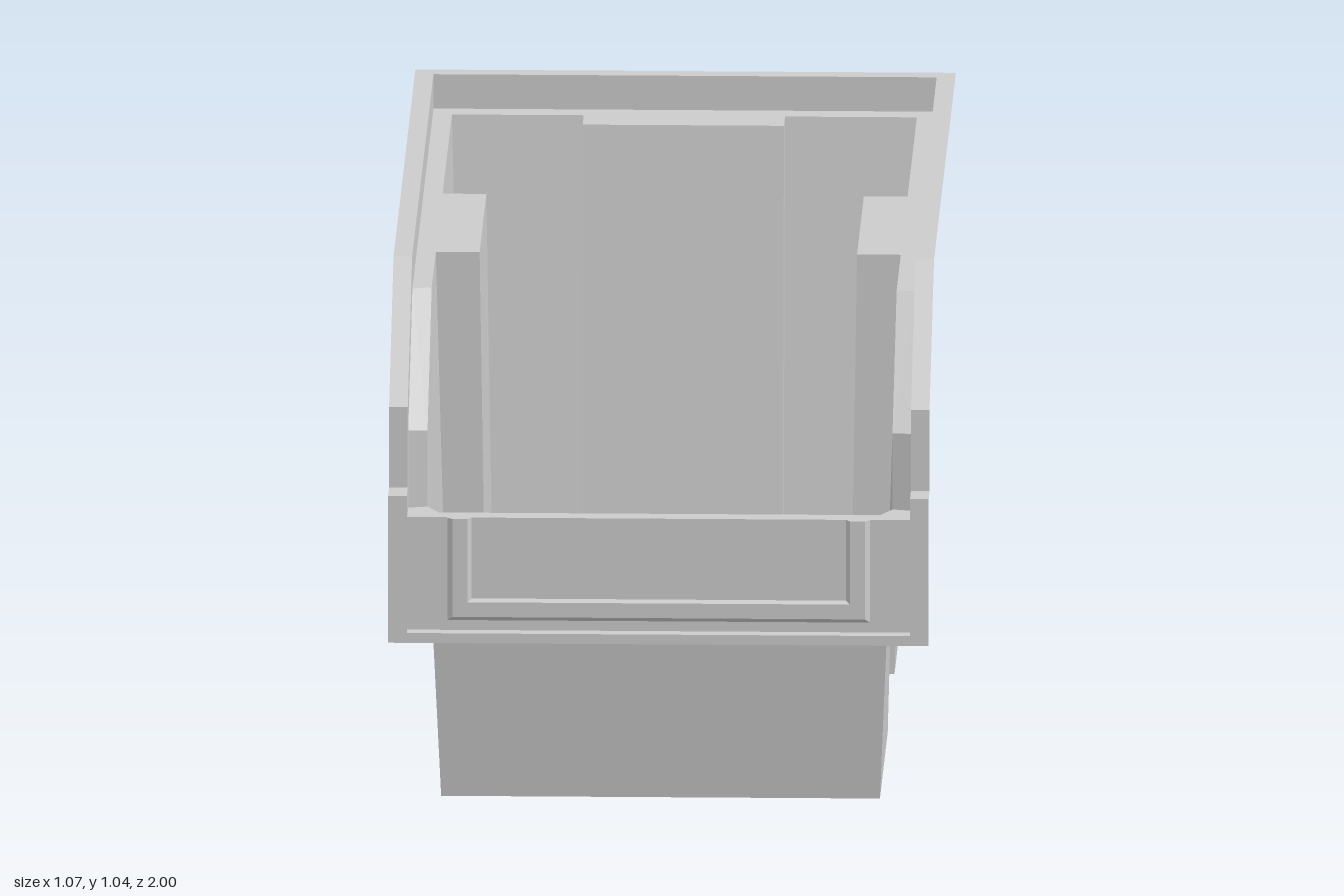
import * as THREE from 'three';

const material = new THREE.MeshStandardMaterial({
  color: 0xcccccc, flatShading: true, side: THREE.DoubleSide,
});

// Joins neighbouring rows of [x, y, z] points with quads, and mirrors them across x = 0.
function loftMirrored(name, rows) {
  const pos = [];
  const tri = (a, b, c) => {
    for (const p of [a, b, c]) pos.push(...p);
    for (const p of [a, c, b]) pos.push(-p[0], p[1], p[2]);
  };
  for (let r = 0; r < rows.length - 1; r++) {
    for (let i = 0; i < rows[r].length - 1; i++) {
      const a = rows[r][i], b = rows[r][i + 1];
      const c = rows[r + 1][i + 1], d = rows[r + 1][i];
      tri(a, c, b);
      tri(a, d, c);
    }
  }
  const geometry = new THREE.BufferGeometry();
  geometry.setAttribute('position', new THREE.Float32BufferAttribute(pos, 3));
  geometry.computeVertexNormals();
  const mesh = new THREE.Mesh(geometry, material);
  mesh.name = name;
  return mesh;
}

const at = (y, points) => points.map(([x, z]) => [x, y, z]);

// Half outline of the rim running from back centre, along the side, to front centre.
function rimRow(x, zBack, side, front) {
  return [
    [0, side[0][0], zBack], [x, side[0][0], zBack],
    ...side.map(([y, z]) => [x, y, z]),
    ...front,
  ];
}

export function createModel() {
  const group = new THREE.Group();
  group.name = 'storageBin';

  // Tapered walls, with recessed grooves in the sides and back
  const foot = [
    [0, -0.725], [0.2, -0.725], [0.2, -0.795], [0.436, -0.795],
    [0.436, -0.23], [0.36, -0.23], [0.36, 0.27], [0.436, 0.27],
    [0.436, 0.56], [0.436, 0.8], [0.436, 0.8], [0.436, 0.84], [0, 0.84],
  ];
  const wallTop = [
    ...at(0.975, [
      [0, -0.83], [0.2, -0.83], [0.2, -0.91], [0.462, -0.91],
      [0.462, -0.23], [0.375, -0.23], [0.375, 0.27], [0.462, 0.27], [0.462, 0.575],
    ]),
    [0.462, 0.755, 0.88], [0.462, 0.6, 0.88], [0.462, 0.6, 0.93], [0, 0.6, 0.93],
  ];
  group.add(loftMirrored('walls', [at(0, foot), wallTop]));

  // Floor
  const outline = foot.filter((p, i) => i < 8 || i > 10);
  const mirrored = outline.slice(1, -1).reverse().map(([x, z]) => [-x, z]);
  const shape = new THREE.Shape([...outline, ...mirrored].map(([x, z]) => new THREE.Vector2(x, z)));
  const floor = new THREE.Mesh(new THREE.ShapeGeometry(shape).rotateX(Math.PI / 2), material);
  floor.name = 'floor';
  group.add(floor);

  // Stepped rim: flat lip, upright band and inner ledge, wrapping around the front frame
  const lipSide = [[1.045, 0.605], [0.815, 0.93], [0.65, 0.93], [0.65, 1]];
  const ledgeSide = [[0.975, 0.585], [0.757, 0.89], [0.6, 0.89], [0.6, 0.97]];
  const innerSide = [[0.975, 0.575], [0.755, 0.88], [0.6, 0.88]];
  group.add(loftMirrored('rim', [
    rimRow(0.537, -1, lipSide, [[0.537, 0.35, 1], [0, 0.35, 1]]),
    rimRow(0.5, -0.96, lipSide, [[0.5, 0.37, 1], [0, 0.37, 1]]),
    rimRow(0.5, -0.96, ledgeSide, [[0.5, 0.37, 0.97], [0, 0.37, 0.97]]),
    rimRow(0.462, -0.91, innerSide, [[0.42, 0.6, 0.97], [0.42, 0.39, 0.97], [0, 0.39, 0.97]]),
  ]));

  // Caps closing the tops of the grooves
  group.add(loftMirrored('sideGrooveCaps', [
    at(0.975, [[0.462, -0.23], [0.462, 0.27]]),
    at(0.975, [[0.375, -0.23], [0.375, 0.27]]),
  ]));
  group.add(loftMirrored('backGrooveCap', [
    at(0.975, [[0, -0.91], [0.2, -0.91]]),
    at(0.975, [[0, -0.83], [0.2, -0.83]]),
  ]));

  // Label holder: raised U-shaped border around a shallow recessed panel
  const uRow = (x, y, z, zTop = z) => [[x, 0.6, zTop], [x, y, z], [0, y, z]];
  group.add(loftMirrored('labelHolder', [
    uRow(0.42, 0.39, 0.898, 0.93),
    uRow(0.42, 0.39, 0.97),
    uRow(0.41, 0.4, 0.985),
    uRow(0.38, 0.43, 0.985),
    uRow(0.372, 0.435, 0.972),
    [[0.372, 0.6, 0.972], [0, 0.6, 0.972], [0, 0.6, 0.972]],
  ]));

  // Flat top of the front wall
  group.add(loftMirrored('frontLedge', [
    at(0.6, [[0.462, 0.88], [0.462, 0.93], [0.41, 0.93], [0.38, 0.93], [0.372, 0.93], [0, 0.93]]),
    at(0.6, [[0.42, 0.97], [0.42, 0.97], [0.41, 0.985], [0.38, 0.985], [0.372, 0.972], [0, 0.972]]),
  ]));

  return group;
}
